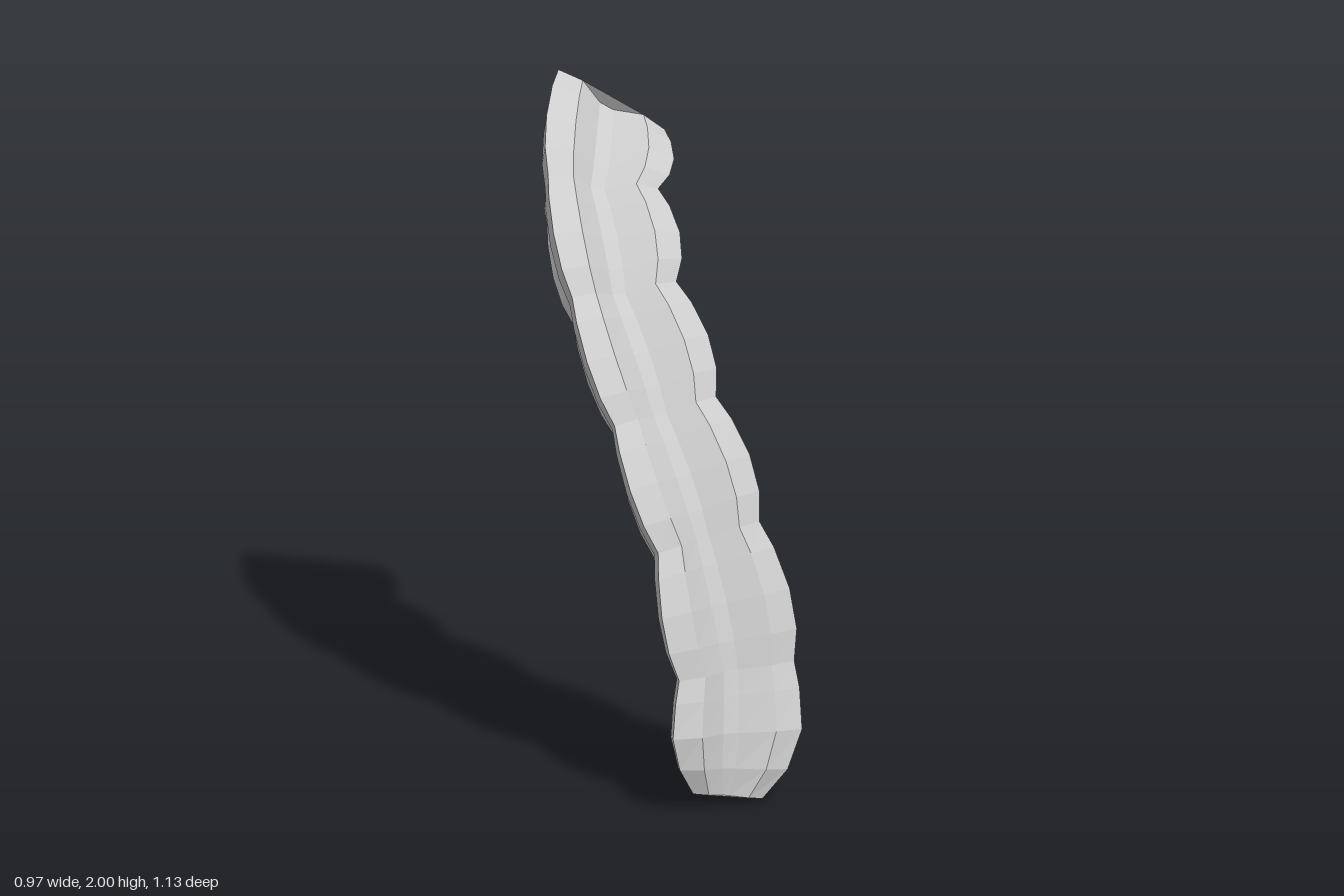
import * as THREE from 'three';

// Corners of the triangular section at each pinch, from the top down
const back = [[-0.48, 1.67, -0.56], [-0.45, 1.51, -0.295], [-0.326, 1.277, -0.135], [-0.16, 0.99, 0],
  [-0.02, 0.655, 0.09], [0.087, 0.334, 0.16], [0.16, 0, 0.27]];
const front = [[-0.46, 2, -0.42], [-0.4, 1.785, -0.07], [-0.263, 1.483, 0.167], [-0.09, 1.14, 0.322],
  [0.073, 0.784, 0.426], [0.16, 0.413, 0.51], [0.2, 0.053, 0.495]];
const side = [[-0.15, 1.81, -0.5], [-0.114, 1.695, -0.285], [-0.01, 1.467, -0.105], [0.15, 1.16, 0.033],
  [0.31, 0.81, 0.13], [0.437, 0.4, 0.2], [0.38, 0.01, 0.36]];

// One side of the section: position along the side, distance factor from the centre
const profile = [[0, 1], [0.24, 1.1], [0.41, 0.67], [0.59, 0.67], [0.76, 1.1]];

// Swelling inside each segment: position between pinches, scale
const swell = [[0, 1], [0.2, 1.11], [0.5, 1.18], [0.78, 1.14]];
const tipSwell = [[0, 1], [0.2, 1.17], [0.5, 1.4], [0.78, 1.36]];

const corners = (k) => [back, front, side].map((ridge) => new THREE.Vector3(...ridge[k]));

function makeRing(tri, scale) {
  const centre = tri[0].clone().add(tri[1]).add(tri[2]).divideScalar(3);
  const points = [];
  for (let s = 0; s < 3; s++) {
    for (const [t, f] of profile) {
      const p = tri[s].clone().lerp(tri[(s + 1) % 3], t);
      points.push(p.sub(centre).multiplyScalar(f * scale).add(centre));
    }
  }
  return points;
}

function makeMesh(name, points, index, material) {
  const geometry = new THREE.BufferGeometry().setFromPoints(points);
  geometry.setIndex(index);
  geometry.computeVertexNormals();
  const mesh = new THREE.Mesh(geometry, material);
  mesh.name = name;
  return mesh;
}

export function createModel() {
  const group = new THREE.Group();
  group.name = 'groovedPod';
  const grey = new THREE.MeshStandardMaterial({ color: 0xcccccc, flatShading: true, side: THREE.DoubleSide });
  grey.name = 'lightGrey';

  // Rings of the swelling segments
  const rings = [];
  const last = back.length - 1;
  for (let k = 0; k < last; k++) {
    const upper = corners(k), lower = corners(k + 1);
    for (const [t, scale] of k === last - 1 ? tipSwell : swell) {
      rings.push(makeRing(upper.map((p, i) => p.clone().lerp(lower[i], t)), scale));
    }
  }
  rings.push(makeRing(corners(last), 1));

  // Grooved skin
  const n = rings[0].length;
  const index = [];
  for (let i = 0; i < rings.length - 1; i++) {
    for (let j = 0; j < n; j++) {
      const a = i * n + j, b = i * n + (j + 1) % n;
      index.push(a, a + n, b, b, a + n, b + n);
    }
  }
  group.add(makeMesh('body', rings.flat(), index, grey));

  // End caps: span two of the grooves, follow the third
  const outline = [10, 11, 14, 0, 1, 2, 3, 4, 5, 6, 9];
  const capIndex = (flip) => {
    const out = [];
    for (let j = 1; j < outline.length - 1; j++) {
      out.push(0, flip ? j + 1 : j, flip ? j : j + 1);
    }
    return out;
  };
  const ends = [['topCap', rings[0], false], ['bottomCap', rings[rings.length - 1], true]];
  for (const [name, ring, flip] of ends) {
    group.add(makeMesh(name, outline.map((i) => ring[i]), capIndex(flip), grey));
  }
  return group;
}
